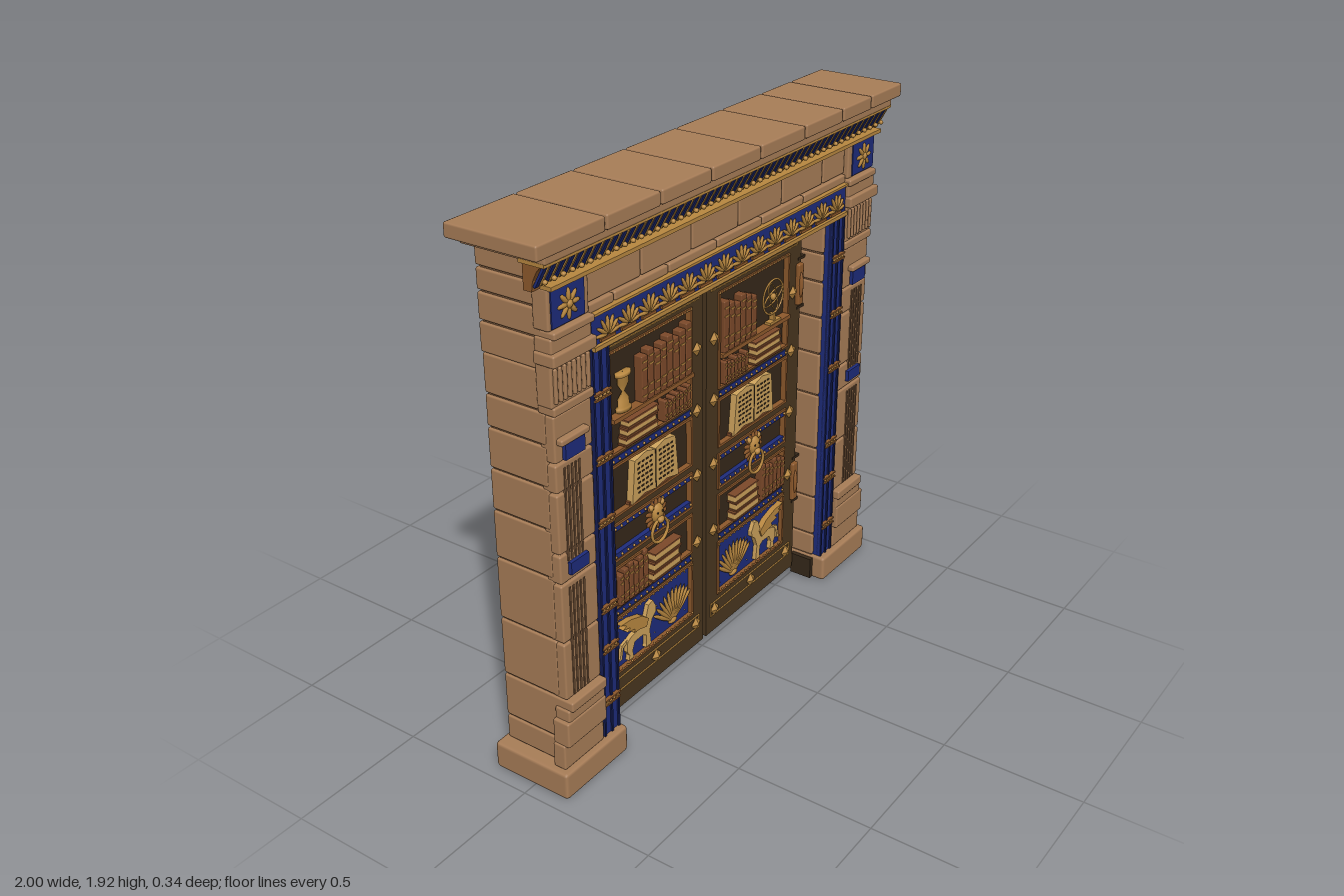
import * as THREE from 'three';
import { mergeGeometries } from 'three/addons/utils/BufferGeometryUtils.js';
import { RoundedBoxGeometry } from 'three/addons/geometries/RoundedBoxGeometry.js';

const colours = {
  stone: 0xa97e58, mortar: 0x7c5a3d, wood: 0x49361f, darkWood: 0x36281a, blue: 0x1e2c7c,
  navy: 0x151d52, gold: 0xb98840, bronze: 0x8f5a2c, leather: 0x7d4a2a, parchment: 0xcda25c,
};
const M = {};
for (const [name, color] of Object.entries(colours)) {
  M[name] = new THREE.MeshStandardMaterial({ color });
  M[name].name = name;
}

// Geometry helpers: boxes are given by their limits
const box = (x0, x1, y0, y1, z0, z1) => new THREE.BoxGeometry(Math.abs(x1 - x0), y1 - y0, z1 - z0)
  .translate((x0 + x1) / 2, (y0 + y1) / 2, (z0 + z1) / 2);
const block = (x0, x1, y0, y1, z0, z1, r = 0.007) =>
  new RoundedBoxGeometry(Math.abs(x1 - x0), y1 - y0, z1 - z0, 1, r)
    .translate((x0 + x1) / 2, (y0 + y1) / 2, (z0 + z1) / 2);
const frame = (x0, x1, y0, y1, t, z0, z1) => [
  box(x0, x1, y0, y0 + t, z0, z1), box(x0, x1, y1 - t, y1, z0, z1),
  box(x0, x0 + t, y0 + t, y1 - t, z0, z1), box(x1 - t, x1, y0 + t, y1 - t, z0, z1)];
const plate = (pts, z, depth) => new THREE.ExtrudeGeometry(
  new THREE.Shape(pts.map(p => new THREE.Vector2(...p))), { depth, bevelEnabled: false }).translate(0, 0, z);
const ball = (x, y, z, rx, ry, rz) => new THREE.SphereGeometry(1, 8, 6).scale(rx, ry, rz).translate(x, y, z);
// Petals fanned about a point, spread in radians around straight up
const fan = (x, y, z, r, n, spread, w) => Array.from({ length: n }, (_, i) =>
  new THREE.SphereGeometry(1, 6, 4).scale(w, r / 2, 0.007).translate(0, r / 2, 0)
    .rotateZ(n > 1 ? -spread / 2 + spread * i / (n - 1) : 0).translate(x, y, z));
const diamond = (x, y, z, r) => new THREE.OctahedronGeometry(1).scale(r, r, 0.014).translate(x, y, z);

function add(parent, name, mat, geos) {
  const list = geos.map(g => (g.index ? g.toNonIndexed() : g));
  const mesh = new THREE.Mesh(list.length > 1 ? mergeGeometries(list) : list[0], mat);
  mesh.name = name;
  parent.add(mesh);
}
function group(parent, name) {
  const g = new THREE.Group();
  g.name = name;
  parent.add(g);
  return g;
}

// One stone pier with its pilaster and inlaid jamb
function pier(root, s) {
  const g = group(root, s > 0 ? 'leftPier' : 'rightPier');
  const B = (f, a, b, ...r) => f(Math.min(s * a, s * b), Math.max(s * a, s * b), ...r);
  add(g, 'pierCore', M.mortar, [B(box, 0.637, 0.897, 0.05, 1.5, -0.137, 0.08)]);
  const ys = [0.1, 0.195, 0.36, 0.575, 0.8, 0.97, 1.115, 1.255, 1.365, 1.5];
  add(g, 'pierBlocks', M.stone, ys.slice(1).map((y, i) => B(block, 0.63, 0.905, ys[i] + 0.003, y - 0.003, -0.145, 0.085)));
  add(g, 'plinth', M.stone, [B(block, 0.63, 0.95, 0, 0.1, -0.165, 0.14, 0.012)]);
  add(g, 'doorFoot', M.darkWood, [B(box, 0.612, 0.63, 0.005, 0.09, 0.0, 0.09)]);
  // Pilaster
  const shaft = [0.355, 0.57, 0.785, 0.89, 1.1, 1.2, 1.36];
  add(g, 'pilasterBase', M.stone, [B(block, 0.73, 0.93, 0.1, 0.195, 0.07, 0.12),
    B(block, 0.73, 0.925, 0.19, 0.285, 0.07, 0.135), B(block, 0.73, 0.912, 0.275, 0.325, 0.07, 0.13),
    B(block, 0.73, 0.905, 0.32, 0.357, 0.07, 0.14)]);
  add(g, 'pilasterShaft', M.stone, shaft.slice(1).map((y, i) =>
    B(block, 0.73, 0.903, shaft[i] + 0.003, y - 0.003, 0.06, 0.115)));
  add(g, 'pilasterCapital', M.stone, [B(block, 0.725, 0.908, 1.36, 1.39, 0.06, 0.125),
    B(block, 0.728, 0.91, 1.385, 1.525, 0.06, 0.118), B(block, 0.722, 0.918, 1.52, 1.56, 0.06, 0.14),
    B(block, 0.728, 0.91, 1.555, 1.605, 0.06, 0.125), B(block, 0.722, 0.905, 1.6, 1.625, 0.06, 0.135),
    B(block, 0.765, 0.895, 1.263, 1.285, 0.1, 0.137)]);
  const flutes = [], reeds = [];
  for (let i = 0; i < 5; i++) {
    const x = 0.794 + i * 0.017;
    for (const [a, b] of [[0.365, 0.765], [0.86, 1.18]]) flutes.push(B(box, x, x + 0.007, a, b, 0.11, 0.118));
  }
  for (let i = 0; i < 8; i++) reeds.push(B(block, 0.74 + i * 0.021, 0.753 + i * 0.021, 1.4, 1.51, 0.11, 0.127, 0.004));
  add(g, 'flutes', M.mortar, flutes);
  add(g, 'capitalReeds', M.stone, reeds);
  add(g, 'blueTablets', M.blue, [B(box, 0.78, 0.87, 1.208, 1.262, 0.1, 0.128), B(box, 0.782, 0.867, 0.812, 0.855, 0.1, 0.128)]);
  // Blue jamb with gold ties
  add(g, 'jambInlay', M.blue, [B(box, 0.642, 0.722, 0.1, 1.5, 0.07, 0.112)]);
  add(g, 'jambLines', M.navy, [0.642, 0.678, 0.714].map(x => B(box, x, x + 0.008, 0.1, 1.5, 0.1, 0.118)));
  const ties = [], tieBeads = [];
  for (const y of [0.235, 0.44, 0.595, 0.91, 1.13, 1.345]) {
    ties.push(B(box, 0.643, 0.721, y - 0.012, y - 0.006, 0.1, 0.125), B(box, 0.643, 0.721, y + 0.006, y + 0.012, 0.1, 0.125));
    for (let i = 0; i < 4; i++) tieBeads.push(ball(s * (0.655 + i * 0.018), y, 0.118, 0.007, 0.007, 0.007));
  }
  add(g, 'jambTies', M.bronze, ties);
  add(g, 'jambTieBeads', M.gold, tieBeads);
  // Corner block with rosette
  add(g, 'cornerBlock', M.stone, [B(block, 0.728, 0.91, 1.625, 1.755, 0.06, 0.118)]);
  add(g, 'cornerPanel', M.blue, [B(box, 0.752, 0.898, 1.632, 1.746, 0.11, 0.122)]);
  add(g, 'rosette', M.gold, [...fan(s * 0.825, 1.688, 0.124, 0.05, 9, Math.PI * 2, 0.009), ball(s * 0.825, 1.688, 0.126, 0.014, 0.014, 0.01)]);
}

// Stone lintel, palmette frieze, cornice and coping
function lintel(root) {
  const g = group(root, 'lintel');
  add(g, 'lintelCore', M.mortar, [box(-0.897, 0.897, 1.497, 1.85, -0.137, 0.08)]);
  const ys = [1.495, 1.597, 1.69, 1.765, 1.845], bricks = [];
  for (let r = 0; r < 4; r++) {
    const xs = [-0.908];
    for (let x = -0.908 + (r % 2 ? 0.16 : 0.28); x < 0.82; x += 0.26) xs.push(x);
    xs.push(0.908);
    for (let i = 1; i < xs.length; i++) bricks.push(block(xs[i - 1] + 0.003, xs[i] - 0.003, ys[r] + 0.003, ys[r + 1] - 0.003, -0.15, 0.085));
  }
  add(g, 'lintelBricks', M.stone, bricks);
  const front = [-0.73, -0.46, -0.2, 0.06, 0.32, 0.58, 0.73], low = [-0.73, -0.6, -0.33, -0.07, 0.19, 0.45, 0.73];
  add(g, 'frontBricks', M.stone, front.slice(1).flatMap((x, i) => [
    block(front[i] + 0.002, x - 0.002, 1.645, 1.752, 0.06, 0.103),
    block(low[i] + 0.002, low[i + 1] - 0.002, 1.612, 1.643, 0.06, 0.11)]));
  // Frieze
  add(g, 'friezeBand', M.blue, [box(-0.72, 0.72, 1.5, 1.612, 0.06, 0.116)]);
  add(g, 'friezeEdges', M.gold, [box(-0.72, 0.72, 1.497, 1.511, 0.07, 0.128), box(-0.72, 0.72, 1.606, 1.614, 0.07, 0.126)]);
  const palmettes = [], stems = [];
  for (let i = 0; i < 14; i++) {
    const x = -0.65 + i * 0.1;
    palmettes.push(...fan(x, 1.53, 0.12, 0.062, 7, 2.9, 0.007));
    stems.push(box(x - 0.035, x + 0.035, 1.516, 1.525, 0.11, 0.123), ball(x + 0.05, 1.535, 0.117, 0.007, 0.014, 0.005));
  }
  add(g, 'palmettes', M.gold, palmettes);
  add(g, 'palmetteStems', M.bronze, stems);
  // Cove cornice with alternating reeds
  const cove = plate([[0.07, 1.757], [0.1, 1.757], [0.105, 1.79], [0.12, 1.82], [0.145, 1.85], [0.07, 1.85]], 0, 1.9);
  add(g, 'cove', M.bronze, [cove.rotateY(-Math.PI / 2).translate(0.95, 0, 0)]);
  add(g, 'coveBands', M.gold, [box(-0.915, 0.915, 1.755, 1.768, 0.06, 0.14), box(-0.955, 0.955, 1.838, 1.85, 0.06, 0.152)]);
  const gold = [], blue = [], beads = [];
  for (let i = 0; i < 96; i++) {
    const x = -0.94 + i * 0.0198;
    (i % 2 ? gold : blue).push(new THREE.BoxGeometry(i % 2 ? 0.008 : 0.016, 0.072, 0.008).rotateX(0.5).translate(x, 1.803, 0.124));
    if (i % 2) beads.push(ball(x, 1.782, 0.124, 0.009, 0.008, 0.008));
  }
  add(g, 'coveGoldReeds', M.gold, [...gold, ...beads]);
  add(g, 'coveBlueReeds', M.blue, blue);
  add(g, 'corniceSlab', M.stone, [block(-0.955, 0.955, 1.845, 1.878, -0.155, 0.155)]);
  const caps = [-1, -0.7, -0.44, -0.182, 0.09, 0.355, 0.595, 0.79, 1];
  add(g, 'copingCore', M.mortar, [box(-0.985, 0.985, 1.872, 1.91, -0.158, 0.155)]);
  add(g, 'copingStones', M.stone, caps.slice(1).map((x, i) => block(caps[i] + (i ? 0.004 : 0), x - (i < 7 ? 0.004 : 0), 1.872, 1.92, -0.17, 0.168)));
}

// One door leaf; x runs from the meeting edge outwards and is mirrored by s
function door(root, s) {
  const g = group(root, s > 0 ? 'leftDoor' : 'rightDoor');
  const B = (f, a, b, ...r) => f(Math.min(s * a, s * b), Math.max(s * a, s * b), ...r);
  const boards = [0.01, 0.125, 0.24, 0.36, 0.48, 0.605], rails = [[0.04, 0.188], [0.412, 0.45], [0.61, 0.632], [0.775, 0.8], [0.99, 1.028], [1.39, 1.48]];
  add(g, 'doorPanel', M.darkWood, [B(box, 0.012, 0.603, 0.045, 1.475, -0.036, -0.005)]);
  add(g, 'backBoards', M.darkWood, boards.slice(1).map((x, i) => B(box, boards[i] + 0.002, x - 0.002, 0.04, 1.48, -0.045, -0.03)));
  const frameParts = (z0, z1) => [B(box, 0.01, 0.078, 0.04, 1.48, z0, z1), B(box, 0.522, 0.605, 0.04, 1.48, z0, z1),
    ...rails.map(([a, b]) => B(box, 0.078, 0.522, a, b, z0, z1))];
  add(g, 'frontFrame', M.wood, frameParts(-0.03, 0.01));
  add(g, 'backFrame', M.darkWood, frameParts(-0.056, -0.03));
  // Diamond studs and their back bolts
  const spots = [1.437, 0.137].flatMap(y => [[0.06, y], [0.3, y], [0.545, y]]);
  for (const y of [1.23, 1.0, 0.75, 0.48]) spots.push([0.05, y], [0.548, y]);
  add(g, 'diamondStuds', M.gold, spots.map(([x, y]) => diamond(s * x, y, 0.014, 0.027)));
  add(g, 'backBolts', M.bronze, spots.map(([x, y]) => ball(s * x, y, -0.057, 0.016, 0.016, 0.012)));
  add(g, 'goldBorders', M.gold, [...B(frame, 0.035, 0.575, 1.405, 1.465, 0.004, 0.005, 0.015), ...B(frame, 0.035, 0.575, 0.11, 0.165, 0.004, 0.005, 0.015)]);
  add(g, 'panelTrims', M.bronze, [[1.028, 1.39], [0.8, 0.99], [0.632, 0.775], [0.45, 0.61], [0.188, 0.412]]
    .flatMap(([a, b]) => B(frame, 0.078, 0.522, a, b, 0.009, -0.01, 0.016)));
  const beads = [];
  for (const y of [1.006, 0.757, 0.65, 0.431]) for (let i = 0; i < 14; i++) beads.push(ball(s * (0.09 + i * 0.0323), y, 0.015, 0.005, 0.005, 0.005));
  for (let i = 0; i < 18; i++) for (const y of [0.198, 0.403, 1.385]) beads.push(ball(s * (0.083 + i * 0.0255), y, 0.016, 0.004, 0.004, 0.004));
  add(g, 'blueBands', M.blue, [1.006, 0.757, 0.65, 0.431].map(y => B(box, 0.088, 0.512, y - 0.011, y + 0.011, -0.01, 0.013)));
  add(g, 'bandBeads', M.gold, beads);
  add(g, 'shelf', M.bronze, [B(box, 0.085, 0.515, 1.145, 1.16, -0.01, 0.028)]);

  // Books: upright rows and lying stacks
  const covers = [], bands = [], pages = [];
  const row = (x0, x1, y, n, height) => {
    const w = (x1 - x0) / n;
    for (let i = 0; i < n; i++) {
      const a = x0 + i * w, b = a + w - 0.003, h = height * (1 - 0.12 * ((i * 7) % 3) / 2 - 0.1 * i / n);
      covers.push(B(block, a, b, y, y + h, -0.01, 0.026, 0.004));
      for (const t of [0.12, 0.3, 0.7, 0.86]) bands.push(B(box, a + 0.003, b - 0.003, y + h * t, y + h * t + 0.005, 0.02, 0.028));
    }
  };
  const stack = (x0, x1, y, t, n) => {
    for (let i = 0; i < n; i++) {
      const a = x0 + 0.008 * (i % 2), b = x1 - 0.006 * i, v = y + i * t;
      covers.push(B(box, a, b, v, v + 0.006, -0.01, 0.03), B(box, a, b, v + t - 0.008, v + t - 0.002, -0.01, 0.03));
      pages.push(B(block, a + 0.003, b - 0.003, v + 0.004, v + t - 0.005, -0.01, 0.028, 0.004));
    }
  };
  row(0.095, s < 0 ? 0.37 : 0.3, 1.16, s < 0 ? 8 : 6, 0.19);
  row(0.1, 0.25, 1.04, 7, 0.085);
  row(0.35, 0.51, 0.46, 6, 0.15);
  stack(0.285, 0.46, 1.042, 0.03, 3);
  stack(0.165, 0.33, 0.462, 0.036, 3);
  // Open book with rows of marks
  covers.push(B(box, 0.16, 0.43, 0.808, 0.82, -0.01, 0.012));
  const marks = [];
  for (const d of [-1, 1]) {
    pages.push(plate([[0, 0.815], [0.06, 0.825], [0.128, 0.81], [0.112, 0.965], [0.05, 0.977], [0.002, 0.962]]
      .map(([x, y]) => [s * 0.295 + d * x, y]), -0.01, 0.03));
    for (let r = 0; r < 7; r++) for (let i = 0; i < 4; i++) {
      const x = s * 0.295 + d * (0.018 + i * 0.022 + 0.004 * (r % 2));
      marks.push(box(x, x + d * 0.012, 0.838 + r * 0.018, 0.844 + r * 0.018, 0.018, 0.022));
    }
  }
  add(g, 'bookCovers', M.leather, covers);
  add(g, 'bookBands', M.gold, bands);
  add(g, 'bookPages', M.parchment, pages);
  add(g, 'pageMarks', M.darkWood, [...marks, B(box, 0.2935, 0.2965, 0.82, 0.96, 0.018, 0.022)]);

  // Hourglass on one leaf, armillary globe on the other
  if (s < 0) {
    const profile = [[0.002, 0], [0.036, 0], [0.036, 0.012], [0.026, 0.016], [0.026, 0.04], [0.006, 0.066],
      [0.026, 0.095], [0.026, 0.12], [0.036, 0.122], [0.036, 0.135], [0.002, 0.135]].map(p => new THREE.Vector2(...p));
    add(g, 'hourglass', M.gold, [new THREE.LatheGeometry(profile, 14).scale(1, 1, 0.5).translate(-0.44, 1.162, 0.005)]);
  } else {
    const ring = (r, sx, a) => new THREE.TorusGeometry(r, 0.004, 5, 28).scale(sx, 1, 1).rotateZ(a).translate(0.42, 1.257, 0.012);
    add(g, 'armillaryGlobe', M.gold, [ring(0.065, 1, 0), ring(0.06, 0.35, 0.4), ring(0.06, 0.35, 1.9), ball(0.42, 1.257, 0.012, 0.014, 0.014, 0.01),
      box(0.415, 0.425, 1.165, 1.195, 0, 0.02), box(0.385, 0.455, 1.16, 1.169, 0, 0.025)]);
  }

  // Lion-mask knocker
  const lx = s * 0.295;
  add(g, 'lionMane', M.bronze, fan(lx, 0.715, 0.018, 0.062, 15, 5.9, 0.011));
  add(g, 'lionMask', M.gold, [ball(lx, 0.72, 0.02, 0.034, 0.038, 0.02), ball(lx, 0.7, 0.036, 0.017, 0.014, 0.014),
    ball(lx - 0.03, 0.75, 0.02, 0.012, 0.012, 0.01), ball(lx + 0.03, 0.75, 0.02, 0.012, 0.012, 0.01)]);
  add(g, 'lionEyes', M.darkWood, [-0.013, 0.013].map(d => ball(lx + d, 0.728, 0.037, 0.004, 0.004, 0.003)));
  add(g, 'knockerRing', M.gold, [new THREE.TorusGeometry(0.044, 0.006, 6, 28).translate(lx, 0.657, 0.034)]);

  // Blue panel with winged lion and shell
  add(g, 'bluePanel', M.blue, [B(box, 0.088, 0.512, 0.197, 0.403, -0.01, 0.0)]);
  const at = pts => pts.map(([u, v]) => [s * (0.508 - u), 0.208 + v]);
  add(g, 'wingedLion', M.parchment, [plate(at([[0.05, 0], [0.078, 0], [0.072, 0.03], [0.085, 0.06], [0.13, 0.062], [0.15, 0.05], [0.15, 0.01], [0.146, 0],
    [0.178, 0], [0.17, 0.06], [0.185, 0.1], [0.207, 0.118], [0.208, 0.14], [0.19, 0.172], [0.165, 0.165], [0.152, 0.13], [0.14, 0.102], [0.07, 0.092], [0.045, 0.08], [0.042, 0.04], [0.055, 0.02]]), -0.002, 0.018),
    plate(at([[0.05, 0.085], [0.02, 0.075], [0.01, 0.03], [0, 0.02], [0.02, 0.02], [0.028, 0.062], [0.05, 0.072]]), -0.002, 0.012)]);
  add(g, 'lionWing', M.gold, [plate(at([[0.145, 0.09], [0.158, 0.118], [0.12, 0.148], [0.06, 0.167], [0.002, 0.172],
    [0.035, 0.155], [0.015, 0.147], [0.055, 0.137], [0.04, 0.125], [0.08, 0.118], [0.075, 0.105], [0.11, 0.1]]), 0.0, 0.022)]);
  add(g, 'shell', M.gold, [...fan(s * 0.192, 0.222, 0.006, 0.14, 11, 1.9, 0.009), ball(s * 0.192, 0.225, 0.006, 0.025, 0.012, 0.01)]);
  add(g, 'stars', M.parchment, [[0.11, 0.38], [0.15, 0.39], [0.24, 0.385], [0.28, 0.33], [0.29, 0.225], [0.11, 0.22], [0.3, 0.39], [0.35, 0.39], [0.48, 0.25]]
    .map(([x, y]) => diamond(s * x, y, -0.008, 0.007)));

  // Hinges
  for (const y of [1.25, 0.435]) {
    add(g, 'hingeStrap', M.bronze, [B(block, 0.572, 0.607, y - 0.08, y + 0.08, 0, 0.025), ball(s * 0.585, y, 0.025, 0.01, 0.05, 0.01)]);
    add(g, 'hingePins', M.darkWood, [-0.095, 0.095].map(d => B(box, 0.585, 0.64, y + d - 0.005, y + d + 0.005, -0.01, 0.012)));
  }
}

export function createModel() {
  const root = new THREE.Group();
  root.name = 'libraryGate';
  for (const s of [-1, 1]) {
    pier(root, s);
    door(root, s);
  }
  lintel(root);
  return root;
}
